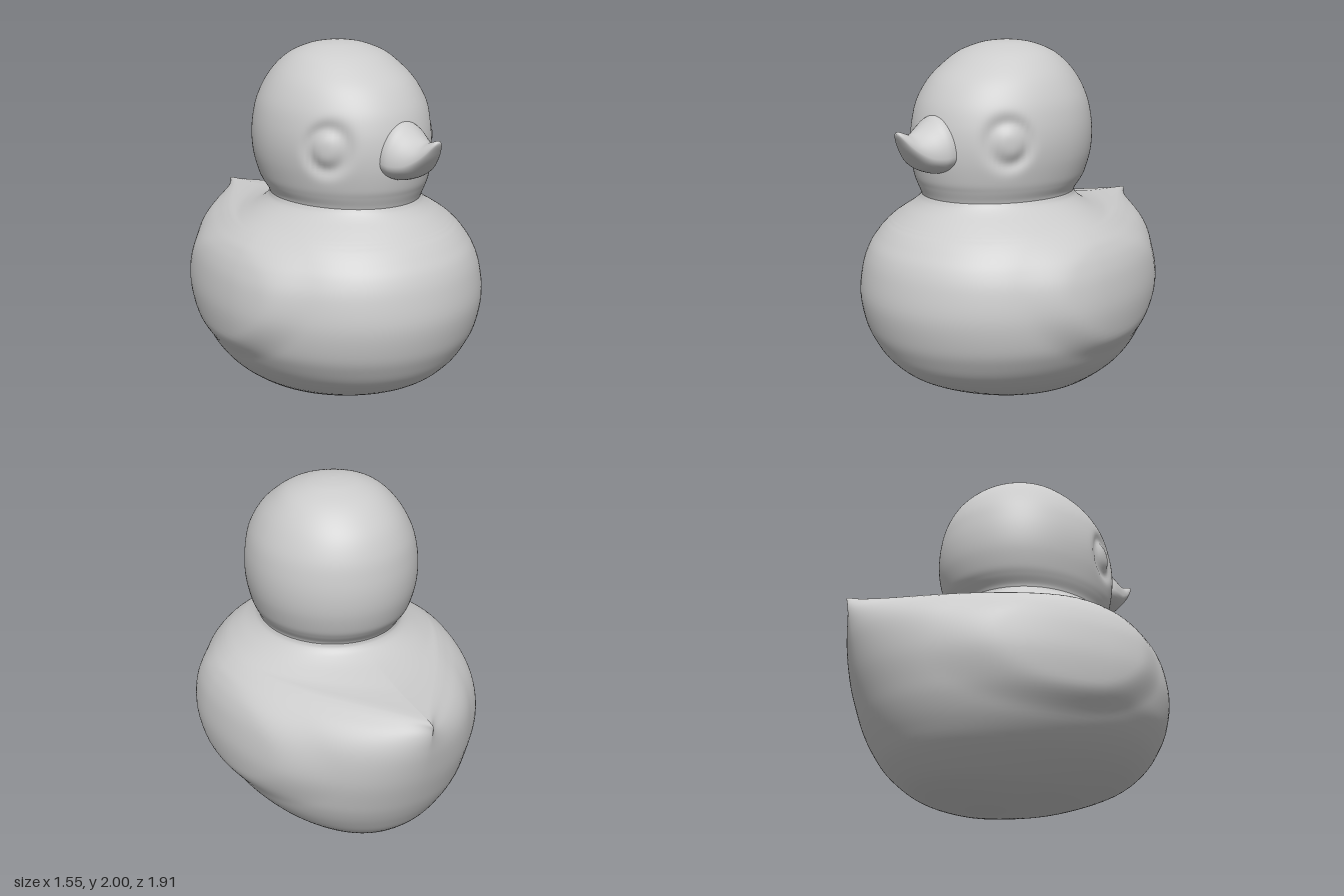
import * as THREE from 'three';

const SIDES = 128;

// Smooth skin through closed rings: each row is a list of section numbers,
// point(row, angle) turns an interpolated row into a surface point.
function loft(name, rows, steps, sides, point, material) {
  const size = rows[0].length;
  const spline = new THREE.CubicInterpolant(rows.map((_, i) => i), rows.flat(), size, new Array(size));
  const count = (rows.length - 1) * steps;
  const positions = [], index = [];
  for (let i = 0; i <= count; i++) {
    const row = Array.from(spline.evaluate(i / steps));
    for (let j = 0; j < sides; j++) {
      positions.push(...point(row, (j / sides) * Math.PI * 2));
      if (i === count) continue;
      const a = i * sides + j, b = i * sides + (j + 1) % sides;
      index.push(a, b, b + sides, a, b + sides, a + sides);
    }
  }
  const geometry = new THREE.BufferGeometry();
  geometry.setAttribute('position', new THREE.Float32BufferAttribute(positions, 3));
  geometry.setIndex(index);
  geometry.computeVertexNormals();
  const mesh = new THREE.Mesh(geometry, material);
  mesh.name = name;
  return mesh;
}

// Horizontal section: round at the front, drawn to a point at the back when e > 0.5
function slice([y, front, back, half, middle, e], t) {
  const c = Math.cos(t), s = Math.sin(t);
  const z = middle + c * (c > 0 ? front - middle : middle - back);
  const power = c > 0 ? 1 : 2 * e;
  return [Math.sign(s) * Math.max(half, 0) * Math.abs(s) ** power, y, z];
}

// Folded wings: a low plateau on each flank, steeper at its front edge
function bodyPoint(row, t) {
  const [x, y, z] = slice(row, t);
  const dz = z - 0.05, dy = y - 0.73 - 0.08 * dz;
  const d = Math.hypot(dz / (dz > 0 ? 0.54 : 0.7), dy / 0.36);
  const swell = 0.035 * (1 - THREE.MathUtils.smoothstep(d, 0.66, 1.08));
  return [x + Math.sign(x) * swell * Math.min(1, Math.abs(x) / 0.4), y, z];
}

// Eyes: a soft groove around an oval bulge
function headPoint(row, t) {
  const [x, y, z] = slice(row, t);
  const d = Math.hypot((z - 0.46) / 0.115, (y - 1.505) / 0.15);
  const groove = Math.abs(x) > 0.15 ? 0.019 * Math.exp(-(((d - 0.7) / 0.27) ** 2)) : 0;
  return [x - Math.sign(x) * groove, y, z - groove * 0.6];
}

// Beak section: widest low down, rounded narrow top
function beakPoint([z, bottom, top, half], t) {
  const wide = bottom + (top - bottom) * 0.34;
  const c = Math.cos(t), s = Math.sin(t);
  const x = half * c * (s > 0 ? 1 - 0.06 * s * s : 1);
  return [x, wide + s * (s > 0 ? top - wide : wide - bottom), z];
}

export function createModel() {
  const model = new THREE.Group();
  const grey = new THREE.MeshStandardMaterial({ color: 0xcccccc });

  // y, front z, back z, half width, z of widest point, back exponent
  const bodyRows = [
    [0, -0.1, -0.1, 0, -0.1, 0.5],
    [0.012, 0.06, -0.28, 0.16, -0.1, 0.5],
    [0.05, 0.26, -0.44, 0.29, -0.08, 0.5],
    [0.1, 0.46, -0.55, 0.395, -0.03, 0.5],
    [0.2, 0.7, -0.66, 0.535, 0.04, 0.5],
    [0.3, 0.825, -0.727, 0.63, 0.09, 0.5],
    [0.4, 0.89, -0.78, 0.69, 0.13, 0.5],
    [0.5, 0.93, -0.822, 0.725, 0.16, 0.51],
    [0.65, 0.955, -0.875, 0.742, 0.17, 0.53],
    [0.8, 0.935, -0.915, 0.725, 0.17, 0.58],
    [0.9, 0.9, -0.935, 0.692, 0.16, 0.67],
    [0.97, 0.85, -0.947, 0.65, 0.16, 0.85],
    [1.015, 0.81, -0.954, 0.612, 0.16, 1.15],
    [1.037, 0.785, -0.955, 0.59, 0.16, 1.4],
    [1.046, 0.775, -0.9, 0.58, 0.16, 1.42],
    [1.054, 0.765, -0.74, 0.57, 0.16, 1.2],
    [1.067, 0.75, -0.58, 0.552, 0.16, 0.92],
    [1.1, 0.71, -0.4, 0.5, 0.16, 0.66],
    [1.135, 0.665, -0.305, 0.442, 0.16, 0.53],
    [1.165, 0.635, -0.272, 0.405, 0.16, 0.5],
    [1.19, 0.62, -0.265, 0.39, 0.15, 0.5],
  ];
  const headRows = [
    [1.19, 0.62, -0.265, 0.39, 0.15, 0.5],
    [1.21, 0.627, -0.277, 0.397, 0.15, 0.5],
    [1.25, 0.643, -0.308, 0.418, 0.14, 0.5],
    [1.3, 0.66, -0.335, 0.437, 0.13, 0.5],
    [1.4, 0.675, -0.362, 0.46, 0.12, 0.5],
    [1.5, 0.675, -0.37, 0.468, 0.12, 0.5],
    [1.6, 0.658, -0.362, 0.46, 0.12, 0.5],
    [1.7, 0.62, -0.34, 0.435, 0.12, 0.5],
    [1.8, 0.55, -0.293, 0.385, 0.12, 0.5],
    [1.88, 0.455, -0.225, 0.322, 0.11, 0.5],
    [1.94, 0.36, -0.145, 0.25, 0.11, 0.5],
    [1.98, 0.25, -0.045, 0.155, 0.1, 0.5],
    [1.995, 0.17, 0.03, 0.075, 0.1, 0.5],
    [2, 0.1, 0.1, 0, 0.1, 0.5],
  ];
  model.add(loft('body', bodyRows, 5, SIDES, bodyPoint, grey));
  model.add(loft('head', headRows, 7, SIDES, headPoint, grey));

  // z, bottom y, top y, half width; the tip turns up
  const beakRows = [
    [0.56, 1.345, 1.645, 0.155],
    [0.65, 1.34, 1.638, 0.162],
    [0.7, 1.348, 1.605, 0.152],
    [0.76, 1.375, 1.57, 0.12],
    [0.81, 1.425, 1.557, 0.085],
    [0.85, 1.475, 1.567, 0.058],
    [0.88, 1.525, 1.577, 0.035],
    [0.895, 1.553, 1.577, 0.018],
    [0.9, 1.568, 1.568, 0],
  ];
  model.add(loft('beak', beakRows, 4, 48, beakPoint, grey));
  return model;
}
